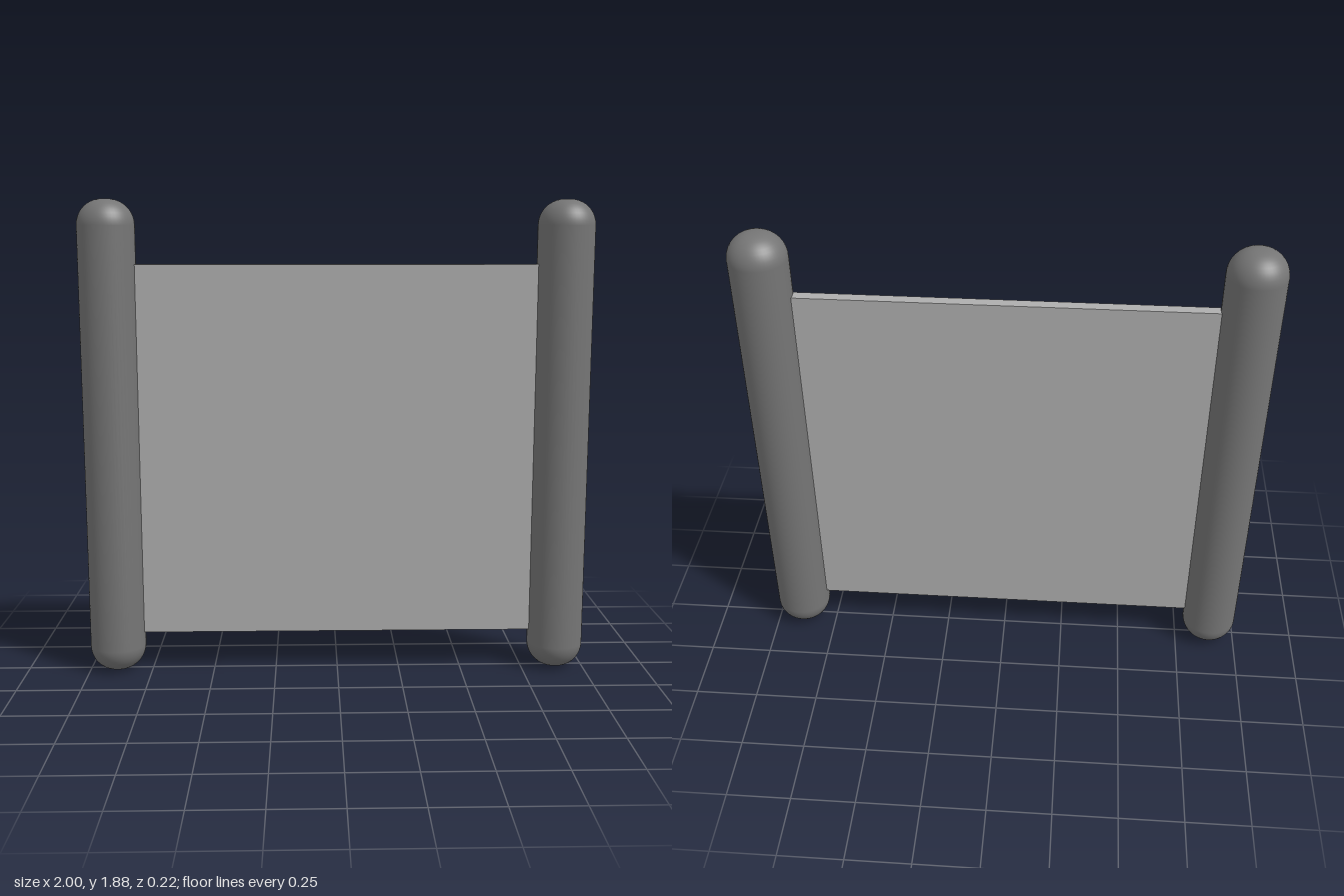
import * as THREE from 'three';

export function createModel() {
  const model = new THREE.Group();
  const rodMaterial = new THREE.MeshStandardMaterial({ color: 0x757575 });
  const sheetMaterial = new THREE.MeshStandardMaterial({ color: 0xaeaeae });

  // Rod profile: straight side with generously rounded ends
  const radius = 0.111, height = 1.877, fillet = 0.1, steps = 10;
  const profile = [new THREE.Vector2(0, 0)];
  for (const top of [false, true]) {
    for (let i = 0; i <= steps; i++) {
      const a = (top ? i / steps : i / steps - 1) * Math.PI / 2;
      const y = (top ? height - fillet : fillet) + fillet * Math.sin(a);
      profile.push(new THREE.Vector2(radius - fillet + fillet * Math.cos(a), y));
    }
  }
  profile.push(new THREE.Vector2(0, height));
  const rodGeometry = new THREE.LatheGeometry(profile, 48);

  // Upright rods, one on each side
  for (const side of [-1, 1]) {
    const rod = new THREE.Mesh(rodGeometry, rodMaterial);
    rod.name = side > 0 ? 'leftRod' : 'rightRod';
    rod.position.x = side * (1 - radius);
    model.add(rod);
  }

  // Thin sheet spanning the rods, ends sunk slightly into them
  const bottom = 0.155, top = 1.628;
  const sheet = new THREE.Mesh(new THREE.BoxGeometry(1.6, top - bottom, 0.043), sheetMaterial);
  sheet.name = 'sheet';
  sheet.position.y = (bottom + top) / 2;
  model.add(sheet);

  return model;
}
